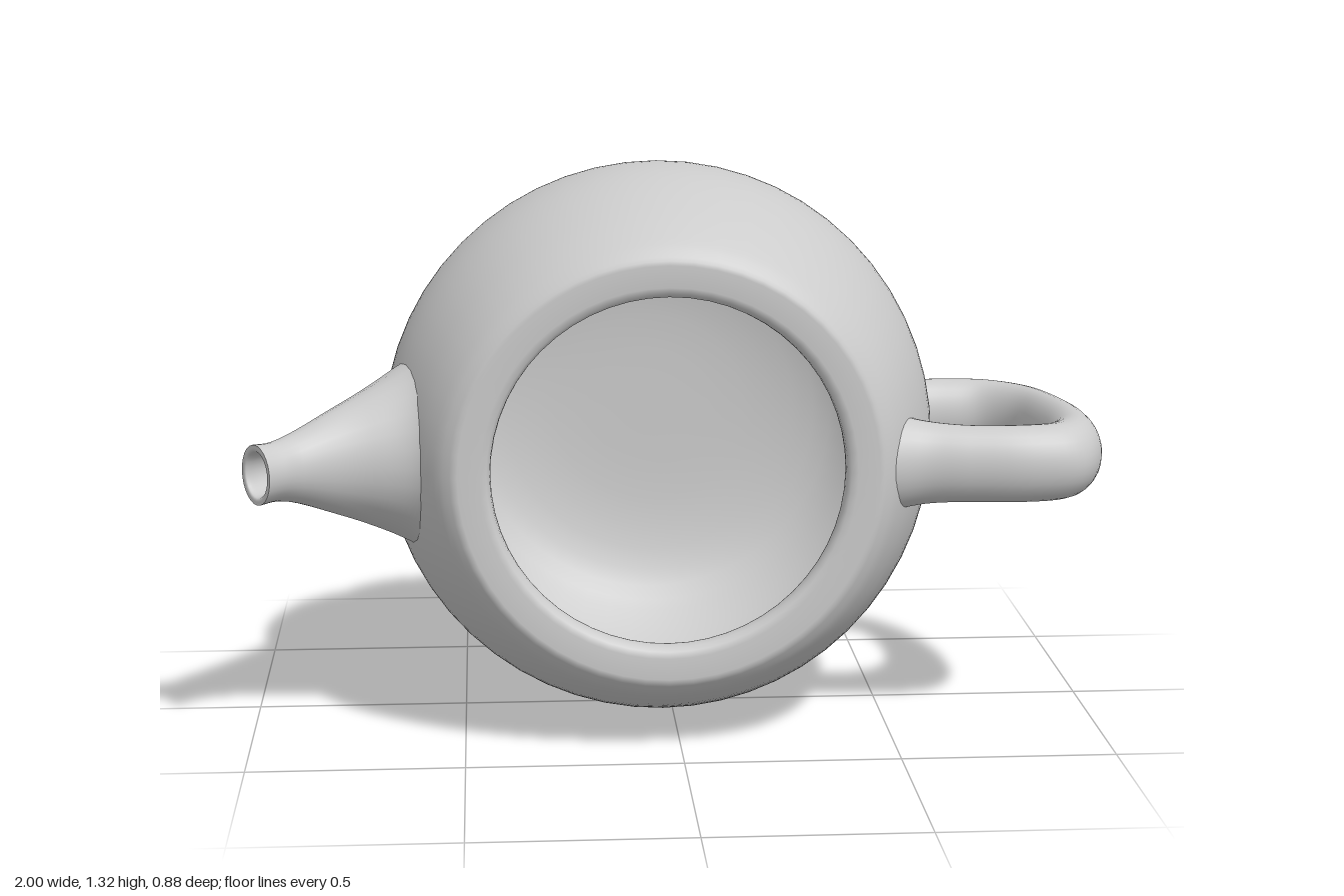
import * as THREE from 'three';

const material = new THREE.MeshStandardMaterial({ color: 0xcccccc });
const AXIS_X = -0.03, AXIS_Y = 0.67;

// Sweep an oval between two outlines in the xz plane.
// Each section is [ax, az, bx, bz, half height].
function loft(name, sections, steps, sides = 28) {
  const a = new THREE.CatmullRomCurve3(sections.map(s => new THREE.Vector3(s[0], s[4], s[1])));
  const b = new THREE.CatmullRomCurve3(sections.map(s => new THREE.Vector3(s[2], s[4], s[3])));
  const positions = [], index = [];
  for (let i = 0; i <= steps; i++) {
    const p = a.getPoint(i / steps), q = b.getPoint(i / steps);
    for (let j = 0; j < sides; j++) {
      const angle = j / sides * Math.PI * 2;
      const c = Math.cos(angle) / 2, s = Math.sin(angle);
      positions.push(
        (p.x + q.x) / 2 + (q.x - p.x) * c,
        AXIS_Y + p.y * s,
        (p.z + q.z) / 2 + (q.z - p.z) * c);
      if (i === steps) continue;
      const k = i * sides + j, n = i * sides + (j + 1) % sides;
      index.push(k, n, k + sides, n, n + sides, k + sides);
    }
  }
  const geometry = new THREE.BufferGeometry();
  geometry.setAttribute('position', new THREE.Float32BufferAttribute(positions, 3));
  geometry.setIndex(index);
  geometry.computeVertexNormals();
  const mesh = new THREE.Mesh(geometry, material);
  mesh.name = name;
  return mesh;
}

function smooth(points, count) {
  return new THREE.SplineCurve(points.map(p => new THREE.Vector2(...p))).getPoints(count);
}

// Hollow pot turned around its axis, mouth towards +z
function createBody() {
  const base = smooth([[0, -0.42], [0.25, -0.424], [0.38, -0.432], [0.43, -0.438],
    [0.462, -0.434], [0.485, -0.418], [0.497, -0.39], [0.522, -0.34]], 28);
  const belly = smooth([[0.522, -0.34], [0.56, -0.29], [0.62, -0.205], [0.652, -0.11],
    [0.66, -0.03], [0.65, 0.08], [0.62, 0.2], [0.575, 0.32], [0.53, 0.4], [0.498, 0.432]], 32);
  const rim = [[0.49, 0.438], [0.48, 0.44], [0.43, 0.44], [0.415, 0.435], [0.407, 0.425], [0.405, 0.41]]
    .map(p => new THREE.Vector2(...p));
  const inside = smooth([[0.405, 0.4], [0.41, 0.385], [0.45, 0.355], [0.51, 0.3], [0.57, 0.17],
    [0.595, 0], [0.58, -0.13], [0.52, -0.24], [0.43, -0.32], [0.25, -0.36], [0, -0.365]], 32);
  const geometry = new THREE.LatheGeometry([...base, ...belly.slice(1), ...rim, ...inside], 56);
  geometry.rotateX(Math.PI / 2);
  const body = new THREE.Mesh(geometry, material);
  body.name = 'body';
  body.position.set(AXIS_X, AXIS_Y, 0);
  return body;
}

export function createModel() {
  const model = new THREE.Group();
  model.name = 'teapot';
  model.add(createBody());

  // Flared spout with an open tip
  const spout = new THREE.Group();
  spout.name = 'spout';
  spout.add(loft('spoutOuter', [
    [-0.66, -0.09, -0.53, 0.39, 0.23],
    [-0.695, -0.035, -0.6, 0.34, 0.2],
    [-0.75, 0.05, -0.69, 0.325, 0.16],
    [-0.83, 0.15, -0.775, 0.33, 0.12],
    [-0.92, 0.245, -0.855, 0.358, 0.08],
    [-0.965, 0.288, -0.895, 0.39, 0.068],
    [-1.0, 0.32, -0.93, 0.42, 0.07],
  ], 36));
  spout.add(loft('spoutBore', [
    [-1.0, 0.32, -0.93, 0.42, 0.07],
    [-0.99, 0.329, -0.936, 0.406, 0.054],
    [-0.96, 0.301, -0.902, 0.379, 0.05],
    [-0.9, 0.246, -0.845, 0.334, 0.06],
    [-0.79, 0.16, -0.745, 0.28, 0.08],
    [-0.65, 0.08, -0.61, 0.22, 0.08],
  ], 30));
  model.add(spout);

  // Side handle: inner outline first, outer outline second
  model.add(loft('handle', [
    [0.55, -0.14, 0.53, -0.32, 0.11],
    [0.62, -0.163, 0.62, -0.285, 0.092],
    [0.7, -0.167, 0.71, -0.287, 0.09],
    [0.78, -0.155, 0.81, -0.265, 0.09],
    [0.84, -0.09, 0.915, -0.17, 0.09],
    [0.87, 0.02, 0.972, -0.02, 0.09],
    [0.878, 0.13, 1.0, 0.15, 0.09],
    [0.865, 0.22, 0.99, 0.29, 0.09],
    [0.825, 0.275, 0.93, 0.395, 0.09],
    [0.75, 0.293, 0.81, 0.424, 0.09],
    [0.66, 0.287, 0.66, 0.412, 0.09],
    [0.58, 0.262, 0.56, 0.402, 0.097],
    [0.53, 0.235, 0.48, 0.415, 0.11],
  ], 60));
  return model;
}
